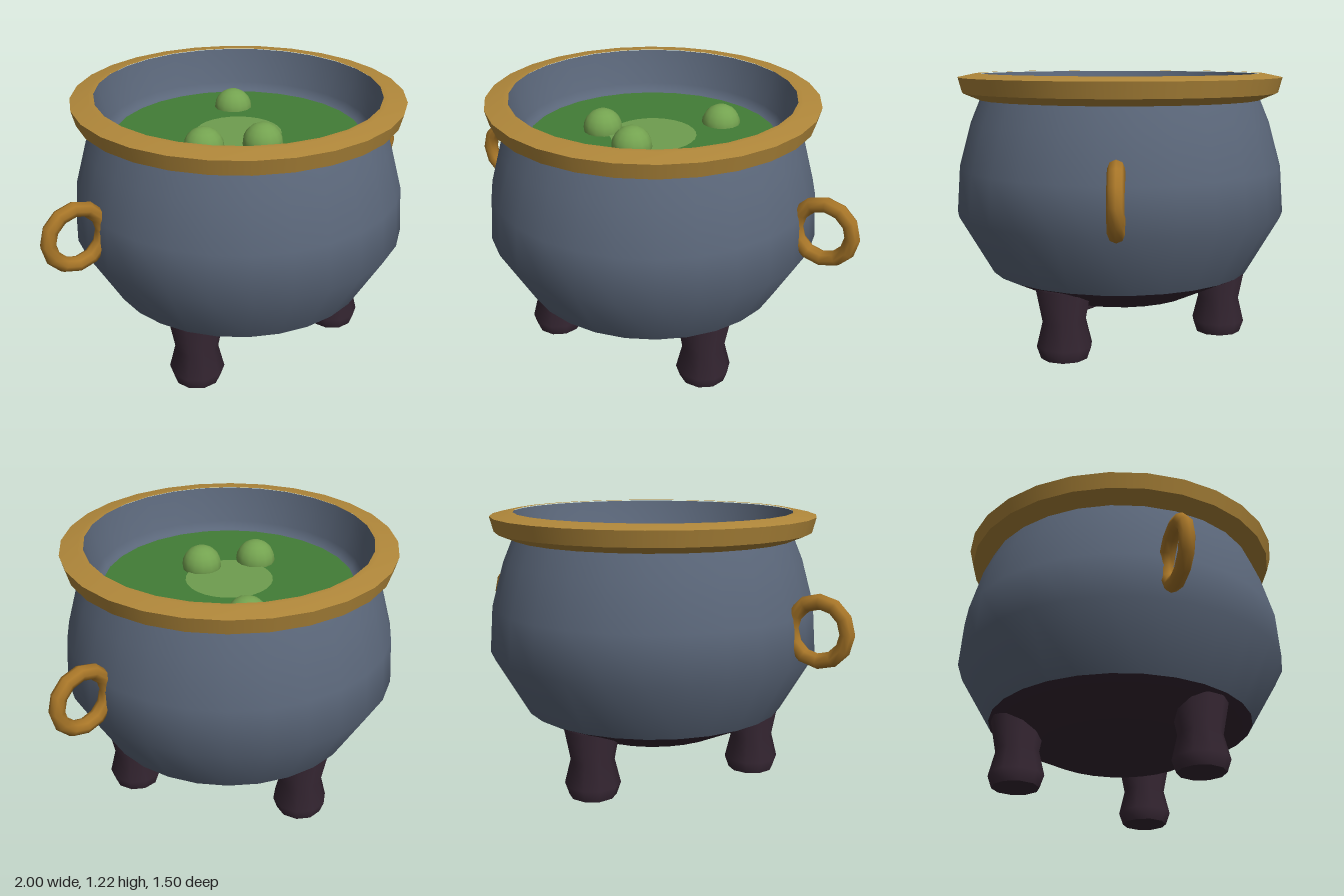
import * as THREE from 'three';

const SEG = 28;

function material(name, color, side = THREE.FrontSide) {
  const m = new THREE.MeshStandardMaterial({ color, side });
  m.name = name;
  return m;
}

// Revolves [radius, height] points; a repeated point makes a sharp crease.
function lathe(points, segments = SEG) {
  const runs = [[]];
  points.forEach(([r, y], i) => {
    const last = points[i - 1];
    if (last && last[0] === r && last[1] === y) runs.push([]);
    runs[runs.length - 1].push(new THREE.Vector2(r, y));
  });
  return runs.map((run) => new THREE.LatheGeometry(run, segments, Math.PI / segments));
}

export function createModel() {
  const group = new THREE.Group();
  group.name = 'cauldron';

  const iron = material('blue grey iron', 0x5b677a);
  const dark = material('dark iron', 0x35263200 >>> 8);
  const gold = material('aged gold', 0xb0873a);
  const brass = material('brass', 0xa87628);
  const brew = material('green brew', 0x427d36);
  const glow = material('pale brew', 0x6f9d4f);
  const bubbleGreen = material('bubble green', 0x74a350);

  function add(name, geometry, mat, parent = group) {
    const mesh = new THREE.Mesh(geometry, mat);
    mesh.name = name;
    parent.add(mesh);
    return mesh;
  }
  function addLathe(name, points, mat, segments, parent = group) {
    const part = new THREE.Group();
    part.name = name;
    lathe(points, segments).forEach((g) => add(name, g, mat, part));
    parent.add(part);
    return part;
  }

  // Pot: dark underside, bulging wall, inner wall with a small ledge
  addLathe('underside', [[0, 0.205], [0.35, 0.205], [0.602, 0.325]], dark);
  addLathe('outerWall',
    [[0.602, 0.325], [0.755, 0.59], [0.74, 0.8], [0.685, 1.0], [0.635, 1.12]], iron);
  addLathe('innerWall',
    [[0.642, 1.218], [0.625, 1.15], [0.595, 1.06], [0.58, 1.025], [0.55, 1.015]], iron);

  // Rim
  addLathe('rim', [
    [0.62, 1.105], [0.645, 1.105], [0.722, 1.137], [0.722, 1.137],
    [0.74, 1.205], [0.74, 1.205], [0.66, 1.222], [0.636, 1.222],
  ], gold);

  // Liquid with a paler patch in the middle
  for (const [name, r, y, mat] of [['liquid', 0.57, 1.02, brew], ['palePatch', 0.196, 1.025, glow]]) {
    const disc = add(name, new THREE.CircleGeometry(r, SEG), mat);
    disc.rotation.x = -Math.PI / 2;
    disc.position.y = y;
  }

  // Bubbles
  for (const [x, y, z] of [[0.19, 1.015, -0.3], [-0.23, 1.03, 0.06], [0, 1.035, 0.18]]) {
    add('bubble', new THREE.SphereGeometry(0.09, 14, 10), bubbleGreen).position.set(x, y, z);
  }

  // Ring handles
  for (const side of [-1, 1]) {
    const handle = add(side > 0 ? 'leftHandle' : 'rightHandle',
      new THREE.TorusGeometry(0.127, 0.034, 8, 12), brass);
    handle.position.set(side * 0.839, 0.757, 0);
  }

  // Three legs: two in front, one at the back
  for (let i = 0; i < 3; i++) {
    const angle = Math.PI / 6 + (i * Math.PI * 2) / 3;
    const leg = addLathe('leg', [
      [0, 0], [0.105, 0], [0.105, 0], [0.124, 0.055], [0.097, 0.165], [0.125, 0.31], [0.1, 0.33],
    ], dark, 10);
    leg.position.set(Math.cos(angle) * 0.47, 0, Math.sin(angle) * 0.47);
  }

  return group;
}
